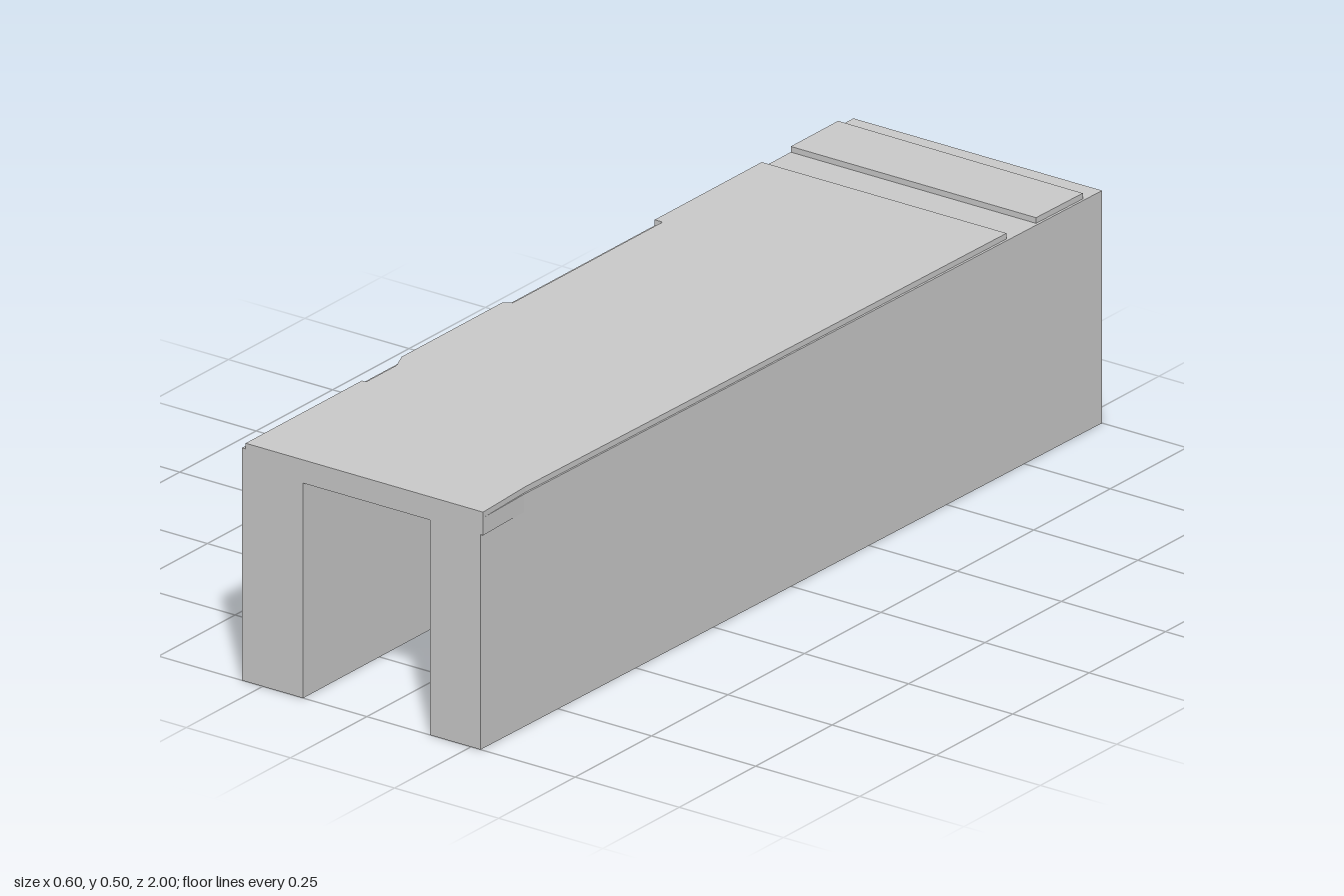
import * as THREE from 'three';

const BACK_X = 0.297, FRONT_X = 0.273;
const BODY_TOP = 0.49, TOP = 0.502;

// The +x wall is slightly skewed along the length
const wallX = z => THREE.MathUtils.lerp(BACK_X, FRONT_X, (z + 1) / 2);

export function createModel() {
  const group = new THREE.Group();
  const material = new THREE.MeshStandardMaterial({ color: 0xcccccc, flatShading: true });

  const add = (name, geometry) => {
    const mesh = new THREE.Mesh(geometry, material);
    mesh.name = name;
    group.add(mesh);
  };

  // Horizontal plate from an outline of [x, z] points
  const plate = (name, points, y0, y1) => {
    const shape = new THREE.Shape(points.map(([x, z]) => new THREE.Vector2(x, -z)));
    const geometry = new THREE.ExtrudeGeometry(shape, { depth: y1 - y0, bevelEnabled: false });
    geometry.rotateX(-Math.PI / 2).translate(0, y0, 0);
    add(name, geometry);
  };

  // Upside-down channel: two thick walls and a roof
  const section = new THREE.Shape([
    [-0.3, 0], [-0.153, 0], [-0.153, 0.453], [0.152, 0.453],
    [0.152, 0], [BACK_X, 0], [BACK_X, BODY_TOP], [-0.3, BODY_TOP],
  ].map(([x, y]) => new THREE.Vector2(x, y)));
  const channel = new THREE.ExtrudeGeometry(section, { depth: 2, bevelEnabled: false });
  channel.translate(0, 0, -1);
  const pos = channel.attributes.position;
  for (let i = 0; i < pos.count; i++) {
    if (pos.getX(i) > 0.2) pos.setX(i, wallX(pos.getZ(i)));
  }
  channel.computeVertexNormals();
  add('channelBody', channel);

  // Long roof slab, notched along the -x edge
  plate('roofSlab', [
    [-0.3, -0.7], [-0.3, -0.35], [-0.281, -0.35], [-0.281, 0.14], [-0.298, 0.15],
    [-0.298, 0.48], [-0.281, 0.52], [-0.281, 0.62], [-0.291, 0.62], [-0.291, 1],
    [0.279, 1], [0.271, 0.85], [0.28, 0.1], [0.288, -0.7],
  ], BODY_TOP, TOP);

  // Raised strip between the two cross grooves at the back
  plate('rearStrip', [
    [-0.3, -0.95], [-0.3, -0.795], [0.289, -0.795], [0.291, -0.945],
  ], BODY_TOP, TOP);

  // Small lip under the slab at the front corner
  plate('frontLip', [
    [0.25, 0.86], [0.25, 1], [0.279, 1], [wallX(0.86), 0.86],
  ], 0.453, BODY_TOP);

  return group;
}
